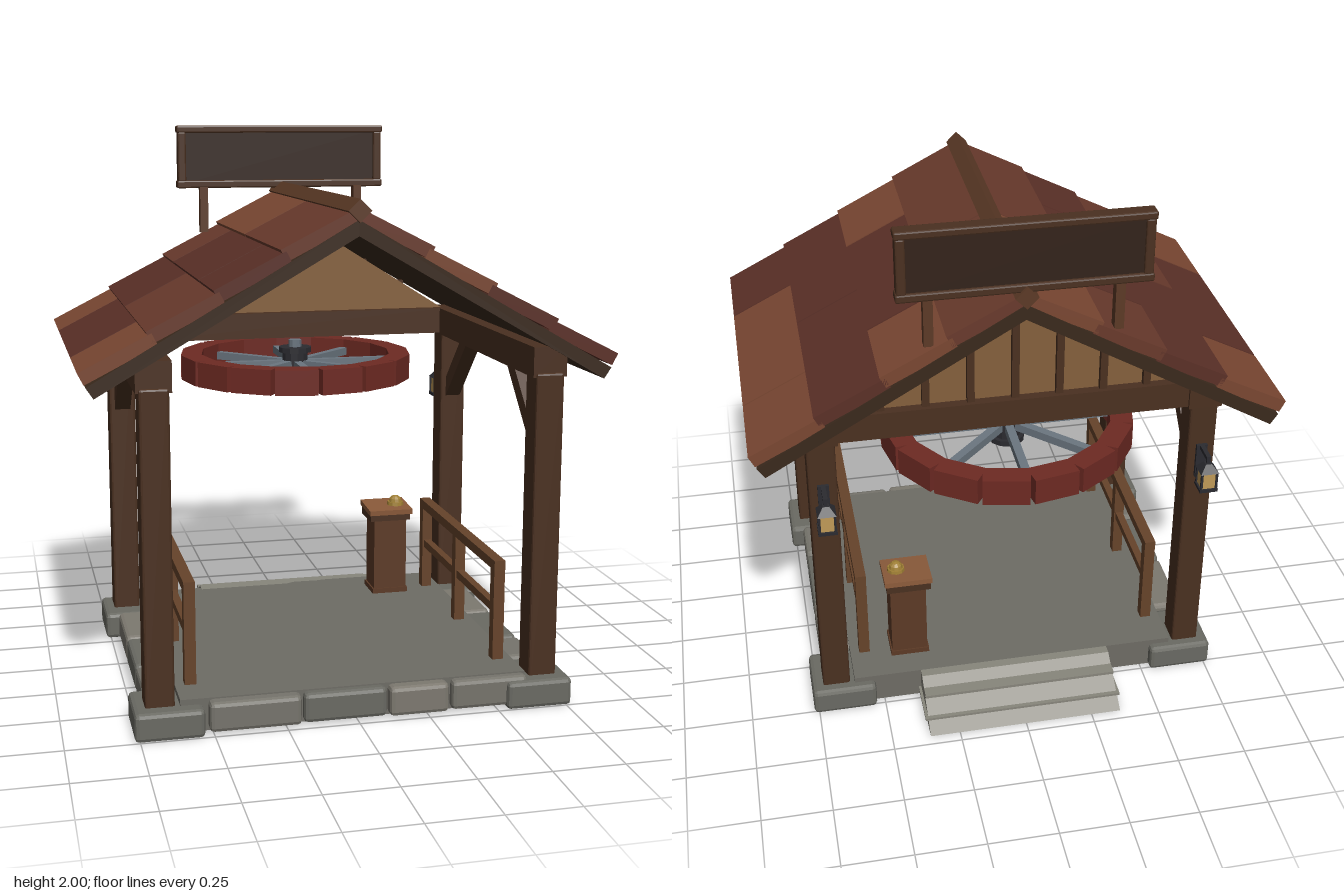
import * as THREE from 'three';
import { RoundedBoxGeometry } from 'three/addons/geometries/RoundedBoxGeometry.js';

const paint = (color) => new THREE.MeshStandardMaterial({ color, flatShading: true });
const WOOD = paint(0x4a3020), DARK = paint(0x3a291c), RAIL = paint(0x66432a), BODY = paint(0x5c3a26);
const TAN = paint(0x85603c), SLAB = paint(0x6e6c65), STEP = paint(0x88867c), IRON = paint(0x2b2b30);
const STEEL = paint(0x6b7680), RED = paint(0x6e2a23), GOLD = paint(0xa08035), GLASS = paint(0xc09a58);
const STONES = [paint(0x76746c), paint(0x6a6a63), paint(0x7d7970)];
const TILES = [paint(0x7a4732), paint(0x693a2c), paint(0x5b3027)];

export function createModel() {
  const root = new THREE.Group();
  const group = (name) => {
    const g = new THREE.Group();
    g.name = name;
    root.add(g);
    return g;
  };
  const add = (parent, name, geo, mat, x = 0, y = 0, z = 0) => {
    const m = new THREE.Mesh(geo, mat);
    m.name = name;
    m.position.set(x, y, z);
    parent.add(m);
    return m;
  };
  // box from its min and max corners, optionally with chamfered edges
  const span = (parent, name, mat, x0, x1, y0, y1, z0, z1, bevel = 0) => {
    const s = [x1 - x0, y1 - y0, z1 - z0];
    const geo = bevel ? new RoundedBoxGeometry(...s, 1, bevel) : new THREE.BoxGeometry(...s);
    return add(parent, name, geo, mat, (x0 + x1) / 2, (y0 + y1) / 2, (z0 + z1) / 2);
  };
  const cyl = (parent, name, mat, r0, r1, h, n, x, y, z) =>
    add(parent, name, new THREE.CylinderGeometry(r0, r1, h, n), mat, x, y, z);
  // outline in x, y pushed along z
  const prism = (parent, name, mat, pts, z0, z1) => {
    const shape = new THREE.Shape(pts.map((p) => new THREE.Vector2(...p)));
    const geo = new THREE.ExtrudeGeometry(shape, { depth: z1 - z0, bevelEnabled: false });
    return add(parent, name, geo, mat, 0, 0, z0);
  };

  // Stone base
  const base = group('base');
  span(base, 'floorSlab', SLAB, -0.61, 0.61, 0.005, 0.12, -0.48, 0.7);
  for (const s of [-1, 1]) {
    for (const z of [0.64, -0.4]) {
      span(base, 'cornerStone', STONES[1], s * 0.65 - 0.118, s * 0.65 + 0.118, 0, 0.1, z - 0.115, z + 0.115, 0.015);
    }
    [[0.33, 0.525], [0.03, 0.32], [-0.275, 0.018]].forEach(([a, b], i) =>
      span(base, 'sideStone', STONES[i], s * 0.64 - 0.08, s * 0.64 + 0.08, 0.01, 0.11, a, b, 0.015));
  }
  [[-0.515, -0.2], [-0.19, 0.1], [0.11, 0.32], [0.335, 0.61]].forEach(([a, b], i) =>
    span(base, 'frontStone', STONES[i % 3], a, b, 0.01, 0.115, 0.6, 0.745 - (i % 2) * 0.01, 0.015));

  // Entry ramp at the back, with two thin treads
  const ramp = group('entryRamp');
  const wedge = prism(ramp, 'rampWedge', STEP, [[0.46, 0], [0.71, 0], [0.515, 0.12], [0.46, 0.12]], -0.36, 0.36);
  wedge.rotation.y = Math.PI / 2;
  wedge.position.set(-0.36, 0, 0);
  span(ramp, 'upperTread', STEP, -0.36, 0.36, 0.085, 0.096, -0.6, -0.48);
  span(ramp, 'lowerTread', STEP, -0.37, 0.37, 0.03, 0.04, -0.66, -0.48);

  // Timber frame
  const frame = group('timberFrame');
  for (const s of [-1, 1]) {
    const x = s * 0.677;
    for (const [z, dir] of [[0.645, -1], [-0.42, 1]]) {
      span(frame, 'post', WOOD, x - 0.05, x + 0.05, 0.09, 1.18, z - 0.053, z + 0.053, 0.008);
      const brace = add(frame, 'brace', new THREE.BoxGeometry(0.06, 0.4, 0.055), WOOD, x, 1.06, z + dir * 0.165);
      brace.rotation.x = dir * Math.PI / 4;
    }
    span(frame, 'sidePlate', WOOD, x - 0.06, x + 0.06, 1.165, 1.27, -0.48, 0.69);
  }
  span(frame, 'backTieBeam', WOOD, -0.64, 0.64, 1.17, 1.27, -0.47, -0.37);

  // Boarded back gable
  const gable = group('backGable');
  prism(gable, 'gablePanel', TAN, [[-0.64, 1.265], [0.64, 1.265], [0, 1.665]], -0.435, -0.405);
  for (let i = -3; i <= 3; i++) {
    const x = i * 0.155;
    span(gable, 'gableBatten', WOOD, x - 0.013, x + 0.013, 1.26, 1.65 - Math.abs(x) * 0.577, -0.455, -0.43);
  }

  // Roof deck, overlapping shingles and ridge cap
  const roof = group('roof');
  prism(roof, 'roofDeck', DARK,
    [[0, 1.71], [-0.895, 1.193], [-0.87, 1.155], [0, 1.657], [0.87, 1.155], [0.895, 1.193]], -0.61, 0.7);
  const long = [-0.61, 0.04, 0.7], short = [-0.61, -0.285, 0.37, 0.7];
  const tones = { '-1': ['020', '21', '122', '01'], 1: ['002', '22', '020', '11'] };
  const tilt = THREE.MathUtils.degToRad(27), len = 0.268, thick = 0.045;
  for (const s of [-1, 1]) {
    tones[s].forEach((row, r) => {
      const seams = r % 2 ? long : short;
      const c = Math.cos(tilt), n = Math.sin(tilt);
      const x = 0.92 - 0.22 * r - c * len / 2 - n * thick / 2;
      const y = 1.24 + 0.126 * r + n * len / 2 - c * thick / 2;
      [...row].forEach((tone, i) => {
        const geo = new THREE.BoxGeometry(len, thick, seams[i + 1] - seams[i] - 0.008);
        const tile = add(roof, 'shingle', geo, TILES[tone], s * x, y, (seams[i] + seams[i + 1]) / 2);
        tile.rotation.z = -s * tilt;
      });
    });
  }
  const cap = add(roof, 'ridgeCap', new THREE.BoxGeometry(0.055, 0.055, 1.335), BODY, 0, 1.74, 0.045);
  cap.rotation.z = Math.PI / 4;

  // Blank sign board above the back edge
  const sign = group('signBoard');
  span(sign, 'signPanel', paint(0x33231a), -0.4, 0.4, 1.77, 1.985, -0.6, -0.575);
  for (const [a, b] of [[1.755, 1.785], [1.972, 2]]) span(sign, 'signRail', WOOD, -0.42, 0.42, a, b, -0.612, -0.558, 0.006);
  for (const s of [-1, 1]) {
    span(sign, 'signStile', WOOD, s * 0.4 - 0.016, s * 0.4 + 0.016, 1.78, 1.975, -0.61, -0.56, 0.006);
    span(sign, 'signLeg', BODY, s * 0.315 - 0.016, s * 0.315 + 0.016, 1.58, 1.76, -0.59, -0.553);
  }

  // Horizontal spoked wheel
  const wheel = group('wheel');
  wheel.position.set(0, 1.078, -0.3);
  for (let i = 0; i < 16; i++) {
    const turn = new THREE.Group();
    turn.rotation.y = (i + 0.5) * Math.PI / 8;
    wheel.add(turn);
    add(turn, 'rimBlock', new THREE.BoxGeometry(0.16, 0.095, 0.08), RED, 0, 0, 0.405);
  }
  for (let i = 0; i < 8; i++) {
    const turn = new THREE.Group();
    turn.rotation.y = i * Math.PI / 4;
    wheel.add(turn);
    add(turn, 'spoke', new THREE.BoxGeometry(0.03, 0.03, 0.34), STEEL, 0, 0, 0.21);
  }
  cyl(wheel, 'hub', IRON, 0.05, 0.05, 0.12, 12, 0, 0, 0);
  for (const y of [-0.057, 0.057]) cyl(wheel, 'hubFlange', IRON, 0.065, 0.065, 0.02, 12, 0, y, 0);
  cyl(wheel, 'axle', STEEL, 0.025, 0.025, 0.17, 10, 0, 0.01, 0);

  // Side railings
  const railings = group('railings');
  for (const s of [-1, 1]) {
    const x = s * 0.556;
    for (const z of [0.55, 0.11, -0.32]) span(railings, 'railPost', RAIL, x - 0.02, x + 0.02, 0.115, 0.47, z - 0.02, z + 0.02);
    span(railings, 'topRail', RAIL, x - 0.02, x + 0.02, 0.452, 0.487, -0.342, 0.572);
    span(railings, 'middleRail', RAIL, x - 0.014, x + 0.014, 0.29, 0.32, -0.33, 0.56);
  }

  // Small desk with a bell
  const desk = group('desk');
  span(desk, 'deskPlinth', BODY, 0.312, 0.457, 0.12, 0.14, -0.38, -0.25);
  span(desk, 'deskBody', BODY, 0.318, 0.452, 0.13, 0.435, -0.375, -0.255);
  span(desk, 'deskCollar', WOOD, 0.3, 0.465, 0.425, 0.46, -0.385, -0.245);
  const top = span(desk, 'deskTop', paint(0x8a5a3a), 0.295, 0.472, 0.456, 0.476, -0.395, -0.235);
  top.rotation.x = 0.06;
  cyl(desk, 'bellFoot', GOLD, 0.032, 0.034, 0.014, 10, 0.42, 0.482, -0.31);
  add(desk, 'bell', new THREE.SphereGeometry(0.027, 10, 6), GOLD, 0.42, 0.488, -0.31);

  // Lanterns on the back posts
  for (const s of [-1, 1]) {
    const g = group('lantern');
    g.position.x = s * 0.677;
    span(g, 'wallPlate', IRON, -0.02, 0.02, 0.875, 1.01, -0.485, -0.47);
    span(g, 'arm', IRON, -0.008, 0.008, 0.995, 1.01, -0.562, -0.475);
    span(g, 'hook', IRON, -0.006, 0.006, 0.97, 1.0, -0.562, -0.55);
    span(g, 'glass', GLASS, -0.026, 0.026, 0.885, 0.955, -0.582, -0.53);
    span(g, 'lanternBase', IRON, -0.033, 0.033, 0.876, 0.888, -0.589, -0.523);
    for (const x of [-0.027, 0.027]) {
      for (const z of [-0.583, -0.529]) span(g, 'lanternBar', IRON, x - 0.004, x + 0.004, 0.88, 0.955, z - 0.004, z + 0.004);
    }
    const lid = cyl(g, 'lanternCap', IRON, 0.016, 0.047, 0.03, 4, 0, 0.967, -0.556);
    lid.rotation.y = Math.PI / 4;
  }
  return root;
}
